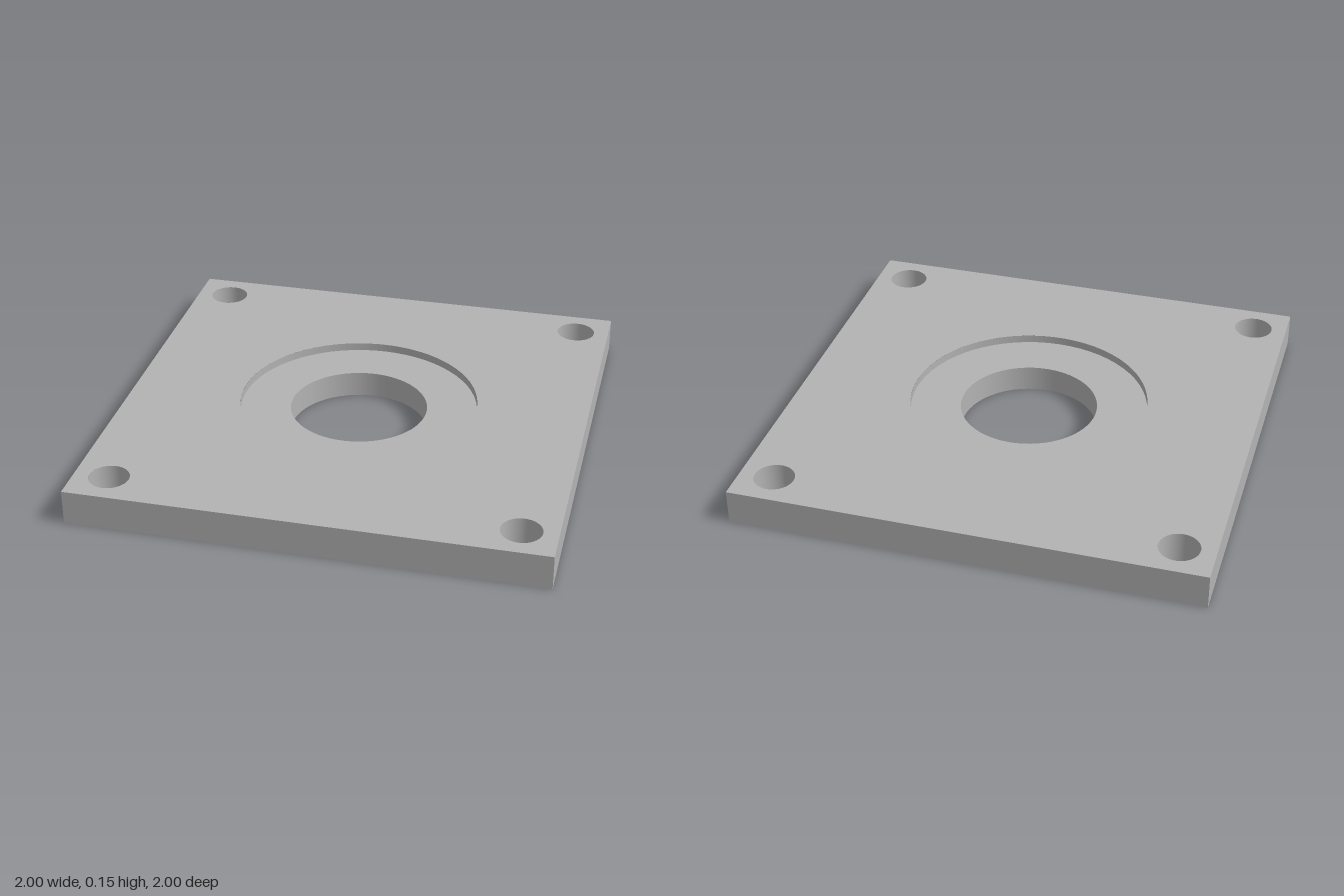
import * as THREE from 'three';

const H = 0.15, SEAT_Y = 0.115;          // plate thickness, height of the recess floor
const BORE = 0.3, RECESS = 0.52;         // centre bore and recess radii
const BOLT = 0.085, BOLT_POS = 0.85;     // corner holes
const SEG = 64;
const corners = [[1, 1], [-1, 1], [-1, -1], [1, -1]];

// Square outline with four corner holes and a centre hole
function plateFace(centreRadius) {
  const shape = new THREE.Shape([[-1, -1], [1, -1], [1, 1], [-1, 1]].map(p => new THREE.Vector2(...p)));
  const addHole = (x, y, r) => shape.holes.push(new THREE.Path().absarc(x, y, r, 0, Math.PI * 2, true));
  addHole(0, 0, centreRadius);
  for (const [sx, sz] of corners) addHole(sx * BOLT_POS, sz * BOLT_POS, BOLT);
  return new THREE.ShapeGeometry(shape, SEG);
}

// One turned surface; running the profile downward makes it face inward or up
const turned = (r0, y0, r1, y1) =>
  new THREE.LatheGeometry([new THREE.Vector2(r0, y0), new THREE.Vector2(r1, y1)], SEG);

export function createModel() {
  const model = new THREE.Group();
  model.name = 'mountingPlate';
  const grey = new THREE.MeshStandardMaterial({ color: 0xb3b3b3 });
  grey.name = 'plain grey';

  const add = (name, geometry) => {
    const mesh = new THREE.Mesh(geometry, grey);
    mesh.name = name;
    model.add(mesh);
    return mesh;
  };

  // Top and bottom faces
  add('topFace', plateFace(RECESS).rotateX(-Math.PI / 2).translate(0, H, 0));
  add('bottomFace', plateFace(BORE).rotateX(Math.PI / 2));

  // Four outer edges
  ['front', 'left', 'back', 'right'].forEach((side, i) =>
    add(side + 'Edge', new THREE.PlaneGeometry(2, H).translate(0, H / 2, 1).rotateY(i * Math.PI / 2)));

  // Stepped centre bore
  add('recessWall', turned(RECESS, H, RECESS, SEAT_Y));
  add('recessFloor', turned(RECESS, SEAT_Y, BORE, SEAT_Y));
  add('boreWall', turned(BORE, SEAT_Y, BORE, 0));

  // Corner bolt holes
  for (const [sx, sz] of corners)
    add('boltHole', turned(BOLT, H, BOLT, 0)).position.set(sx * BOLT_POS, 0, sz * BOLT_POS);

  return model;
}
